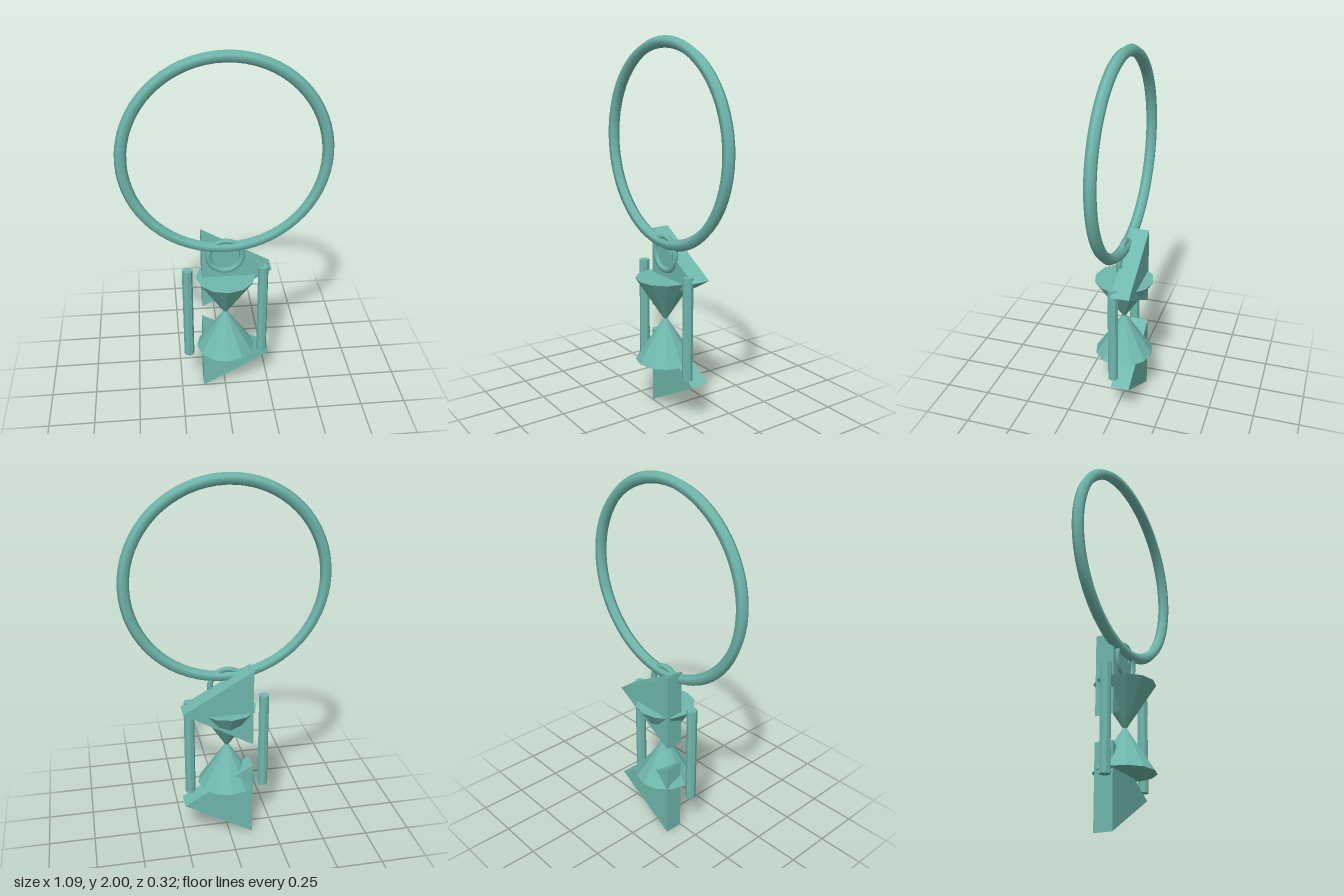
import * as THREE from 'three';

export function createModel() {
  const model = new THREE.Group();
  model.name = 'hourglassPendant';
  const teal = new THREE.MeshStandardMaterial({ color: 0x6fb8ad });
  teal.name = 'teal';

  const add = (name, geometry, x, y, z = 0) => {
    const mesh = new THREE.Mesh(geometry, teal);
    mesh.name = name;
    mesh.position.set(x, y, z);
    model.add(mesh);
    return mesh;
  };
  // Unshared corners give crisp facets
  const faceted = (geometry) => {
    const flat = geometry.toNonIndexed();
    flat.computeVertexNormals();
    return flat;
  };

  // Large hoop and the small link hanging from it
  add('hoop', new THREE.TorusGeometry(0.513, 0.03, 6, 64), 0, 1.457);
  add('link', new THREE.TorusGeometry(0.09, 0.016, 6, 32), 0, 0.89);

  // Two cones meeting tip to tip
  const cone = faceted(new THREE.ConeGeometry(0.16, 0.245, 12));
  add('lowerBulb', cone, 0, 0.4225);
  add('upperBulb', cone, 0, 0.6375).rotation.x = Math.PI;

  // Side posts
  const post = faceted(new THREE.CylinderGeometry(0.028, 0.028, 0.56, 8));
  add('leftPost', post, 0.205, 0.53);
  add('rightPost', post, -0.205, 0.53);

  // Three-sided plates behind the glass, pointing to the left
  const triangle = new THREE.Shape([0, 1, 2].map((i) => {
    const a = (i * Math.PI * 2) / 3;
    return new THREE.Vector2(0.25 * Math.cos(a), 0.25 * Math.sin(a));
  }));
  const plate = new THREE.ExtrudeGeometry(triangle, { depth: 0.1, bevelEnabled: false });
  add('upperPlate', plate, 0, 0.786, -0.1);
  add('lowerPlate', plate, 0, 0.22, -0.1);

  return model;
}
